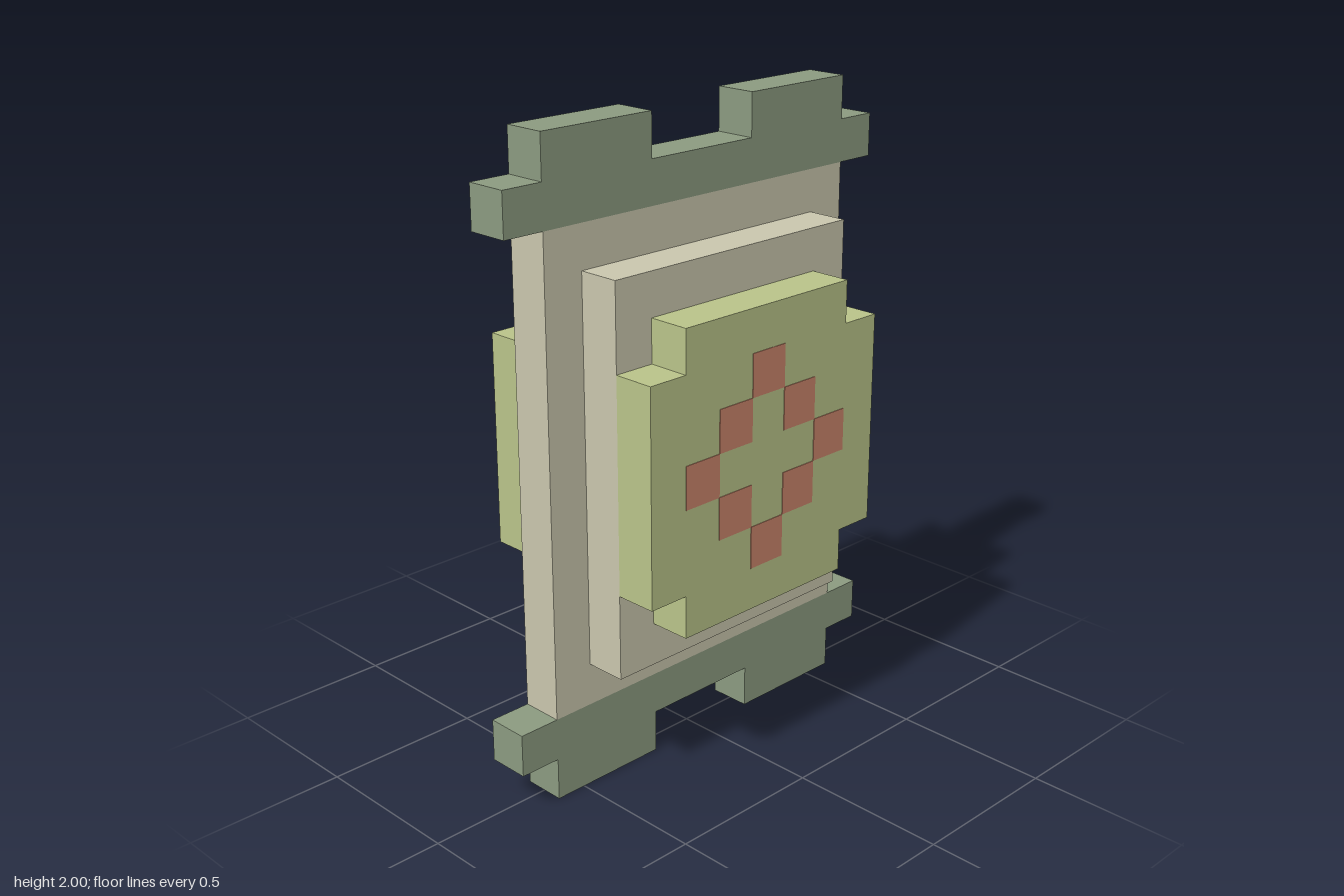
import * as THREE from 'three';

const U = 2 / 15; // one block of the grid

const material = (name, color) => {
  const m = new THREE.MeshStandardMaterial({ color });
  m.name = name;
  return m;
};

// Extrude an outline given in blocks, centred on z = 0
function slab(points, depth) {
  const shape = new THREE.Shape(points.map(([x, y]) => new THREE.Vector2(x * U, y * U)));
  return new THREE.ExtrudeGeometry(shape, { depth: depth * U, bevelEnabled: false })
    .translate(0, 0, -depth * U / 2);
}

export function createModel() {
  const model = new THREE.Group();
  model.name = 'blockPanel';
  const sage = material('sage green', 0x8b9a80);
  const beige = material('beige', 0xc9c6ad);
  const lime = material('pale lime', 0xb9c389);
  const coral = material('coral', 0xca846a);

  const add = (name, geometry, mat, x, y, z, parent = model) => {
    const mesh = new THREE.Mesh(geometry, mat);
    mesh.name = name;
    mesh.position.set(x * U, y * U, z * U);
    parent.add(mesh);
    return mesh;
  };
  const box = (w, h, d) => new THREE.BoxGeometry(w * U, h * U, d * U);

  // Central panel between the two rails
  add('panel', box(9, 11, 1), beige, 0, 7.5, 0);

  // Rails with two blocks each, the lower one turned upside down
  const railOutline = [
    [-5.5, 0], [5.5, 0], [5.5, 1], [4.5, 1], [4.5, 2], [1.5, 2],
    [1.5, 1], [-1.5, 1], [-1.5, 2], [-4.5, 2], [-4.5, 1], [-5.5, 1],
  ];
  const rail = slab(railOutline, 1);
  add('topRail', rail, sage, 0, 13, 0);
  add('bottomRail', rail, sage, 0, 2, 0).rotation.z = Math.PI;

  // Notched plate outline
  const plateOutline = [
    [-2.5, -3.5], [2.5, -3.5], [2.5, -2.5], [3.5, -2.5], [3.5, 2.5], [2.5, 2.5],
    [2.5, 3.5], [-2.5, 3.5], [-2.5, 2.5], [-3.5, 2.5], [-3.5, -2.5], [-2.5, -2.5],
  ];
  const plate = slab(plateOutline, 1);
  const tile = box(1, 1, 0.03);

  // Same stepped relief on both faces
  for (const side of ['front', 'back']) {
    const face = new THREE.Group();
    face.name = side + 'Relief';
    face.rotation.y = side === 'front' ? 0 : Math.PI;
    model.add(face);
    add('raisedBlock', box(7, 9, 1), beige, 0, 7.5, 1, face);
    add('notchedPlate', plate, lime, 0, 7.5, 2, face);

    // Ring of eight tiles in a diamond
    for (let x = -2; x <= 2; x++) {
      const y = 2 - Math.abs(x);
      for (const dy of y ? [-y, y] : [0]) add('diamondTile', tile, coral, x, 7.5 + dy, 2.5, face);
    }
  }
  return model;
}
